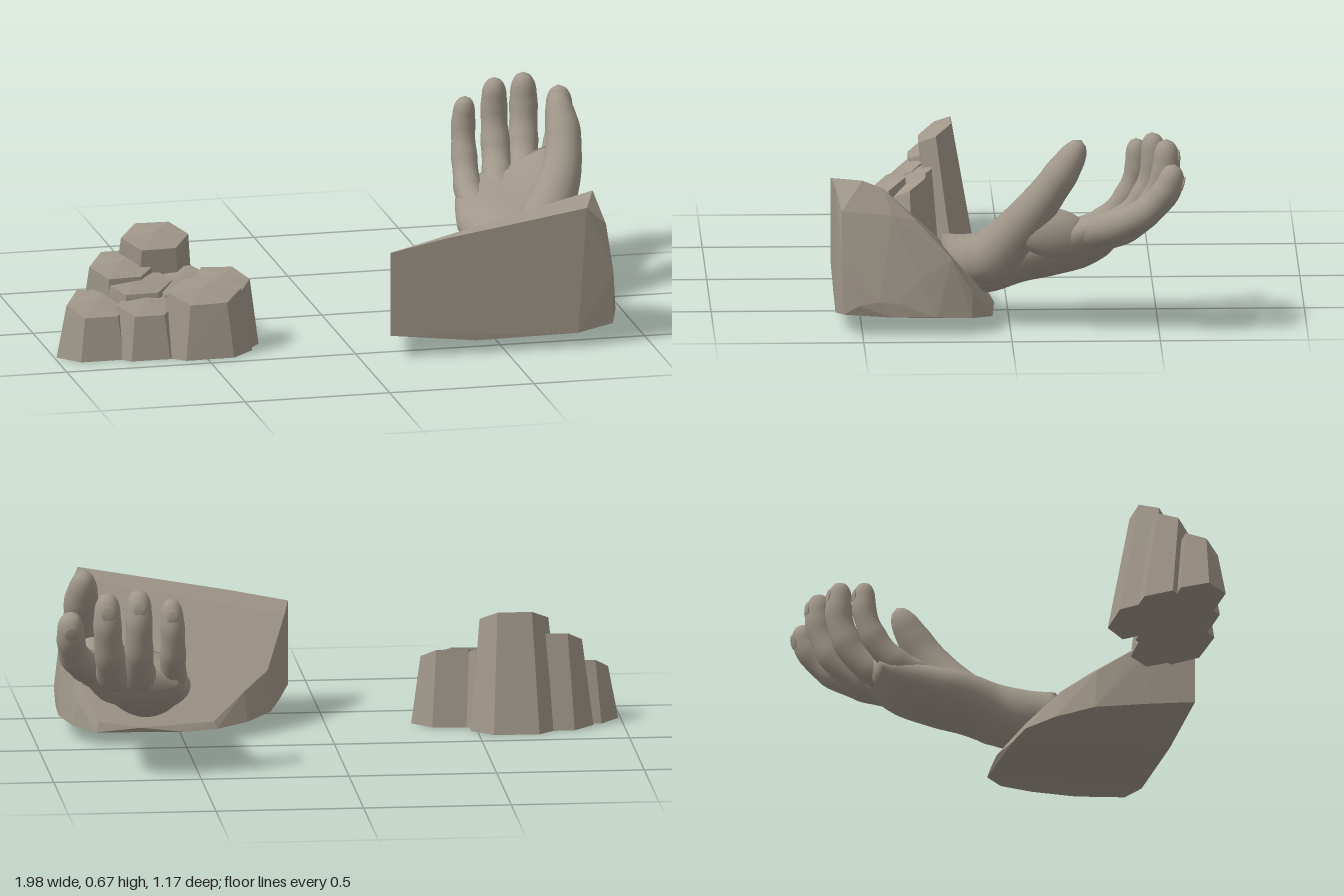
import * as THREE from 'three';
import { mergeVertices } from 'three/addons/utils/BufferGeometryUtils.js';
import { ConvexGeometry } from 'three/addons/geometries/ConvexGeometry.js';

const V = (x, y, z) => new THREE.Vector3(x, y, z);

// weld seams so the shape shades smoothly
function smooth(geo) {
  geo.deleteAttribute('uv');
  geo.deleteAttribute('normal');
  const g = mergeVertices(geo, 1e-4);
  g.computeVertexNormals();
  return g;
}

// tapered finger with swollen joints, rounded at root and tip
function fingerGeometry(points, r0, r1, joints) {
  const curve = new THREE.CatmullRomCurve3(points.map(p => V(...p)));
  const rows = 48, sides = 20, root = 0.2, tip = 0.12;
  const geo = new THREE.TubeGeometry(curve, rows, 1, sides);
  const pos = geo.attributes.position, v = V();
  for (let i = 0; i < pos.count; i++) {
    const t = Math.floor(i / (sides + 1)) / rows;
    const c = curve.getPointAt(t);
    let r = r0 + (r1 - r0) * t;
    for (const j of joints) r *= 1 + 0.07 * Math.exp(-(((t - j) / 0.06) ** 2));
    const end = Math.max((root - t) / root, (t - 1 + tip) / tip, 0);
    r *= Math.sqrt(Math.max(0, 1 - end * end));
    v.fromBufferAttribute(pos, i).sub(c).multiplyScalar(r).add(c);
    pos.setXYZ(i, v.x, v.y, v.z);
  }
  return { geo: smooth(geo), curve };
}

// wrist and palm: a cylinder pulled through cross-sections [x, y, z, half width, half height, cup]
function palmGeometry() {
  const sections = [
    [0.63, 0.175, 0.225, 0.14, 0.115, 0], [0.63, 0.185, 0.13, 0.127, 0.105, 0],
    [0.65, 0.205, 0.04, 0.132, 0.105, 0], [0.67, 0.24, -0.05, 0.16, 0.105, 0.01],
    [0.69, 0.265, -0.15, 0.188, 0.105, 0.03], [0.712, 0.29, -0.25, 0.192, 0.1, 0.035],
    [0.725, 0.315, -0.33, 0.185, 0.078, 0.02], [0.735, 0.34, -0.385, 0.165, 0.035, 0],
  ];
  const centre = new THREE.CatmullRomCurve3(sections.map(s => V(s[0], s[1], s[2])));
  const size = new THREE.CatmullRomCurve3(sections.map(s => V(s[3], s[4], s[5])));
  const geo = new THREE.CylinderGeometry(1, 1, 1, 36, 28);
  const pos = geo.attributes.position;
  for (let i = 0; i < pos.count; i++) {
    const a = pos.getX(i), b = pos.getZ(i), t = pos.getY(i) + 0.5;
    const c = centre.getPoint(t), s = size.getPoint(t);
    const cup = b > 0 ? s.z * b * b : 0;
    const lift = a > 0 ? 0.09 * t * a : 0.03 * t * a; // thumb side sits higher
    pos.setXYZ(i, c.x + a * s.x, c.y + b * s.y - cup + lift, c.z);
  }
  return smooth(geo);
}

export function createModel() {
  const model = new THREE.Group();
  model.name = 'stoneHandAndRocks';
  const stone = new THREE.MeshStandardMaterial({ color: 0xa0978a });
  stone.name = 'stone';
  const add = (parent, geo, name) => {
    const mesh = new THREE.Mesh(geo, stone);
    mesh.name = name;
    parent.add(mesh);
    return mesh;
  };
  let seed = 7;
  const rand = () => (seed = (seed * 16807) % 2147483647) / 2147483647 - 0.5;

  // wedge-shaped boulder: broad front, long back slope, broken side
  const boulder = [
    [0.1, 0.08, 0.585], [0.1, 0.37, 0.585], [0.4, 0.045, 0.585], [0.75, 0.05, 0.588], [0.875, 0.07, 0.565],
    [0.3, 0.41, 0.587], [0.55, 0.448, 0.588], [0.78, 0.485, 0.588], [0.85, 0.42, 0.57], [0.876, 0.25, 0.57],
    [0.82, 0.52, 0.5], [0.78, 0.51, 0.5], [0.835, 0.495, 0.43], [0.87, 0.41, 0.4], [0.86, 0.39, 0.32],
    [0.8, 0.365, 0.3], [0.875, 0.26, 0.2], [0.905, 0.065, 0.4], [0.91, 0.065, 0.25], [0.875, 0.055, 0.13],
    [0.86, 0.14, 0.13], [0.8, 0.045, 0.06], [0.79, 0.08, 0.07], [0.65, 0.06, 0.05], [0.5, 0.04, 0.06],
    [0.39, 0.045, 0.075], [0.4, 0.07, 0.08], [0.28, 0.05, 0.15], [0.29, 0.15, 0.17], [0.19, 0.06, 0.26],
    [0.2, 0.2, 0.27], [0.145, 0.07, 0.41], [0.15, 0.29, 0.41], [0.12, 0.34, 0.5], [0.4, 0.035, 0.3], [0.7, 0.045, 0.3],
  ].map(p => V(...p));
  // uneven facets across the broken side
  for (let z = 0.22; z < 0.54; z += 0.075) {
    for (let y = 0.11; y < z - 0.06; y += 0.09) {
      const py = y + rand() * 0.05, pz = z + rand() * 0.05;
      boulder.push(V(0.912 - 0.35 * py * py - 0.6 * (pz - 0.35) ** 2 + rand() * 0.012, py, pz));
    }
  }
  add(model, new ConvexGeometry(boulder), 'boulder');

  // open left hand, palm up
  const hand = new THREE.Group();
  hand.name = 'hand';
  model.add(hand);
  add(hand, palmGeometry(), 'wristAndPalm');

  // fleshy web between thumb and index finger
  const web = add(hand, new THREE.SphereGeometry(1, 28, 20), 'thumbWeb');
  web.scale.set(0.06, 0.085, 0.125);
  web.rotation.x = -0.15;
  web.position.set(0.84, 0.34, -0.14);

  const digits = [
    ['indexFinger', 0.06, 0.042, [[0.83, 0.33, -0.2], [0.88, 0.37, -0.35], [0.925, 0.425, -0.45], [0.945, 0.51, -0.525], [0.948, 0.597, -0.55]]],
    ['middleFinger', 0.058, 0.042, [[0.755, 0.305, -0.22], [0.785, 0.335, -0.36], [0.805, 0.41, -0.465], [0.82, 0.53, -0.52], [0.82, 0.657, -0.525]]],
    ['ringFinger', 0.056, 0.04, [[0.67, 0.295, -0.22], [0.69, 0.325, -0.345], [0.705, 0.4, -0.435], [0.71, 0.52, -0.485], [0.71, 0.657, -0.48]]],
    ['littleFinger', 0.05, 0.036, [[0.59, 0.28, -0.18], [0.58, 0.31, -0.3], [0.585, 0.38, -0.38], [0.59, 0.49, -0.43], [0.597, 0.612, -0.43]]],
    ['thumb', 0.105, 0.042, [[0.67, 0.19, 0.13], [0.735, 0.24, 0.055], [0.79, 0.32, -0.01], [0.845, 0.42, -0.08], [0.873, 0.53, -0.155], [0.872, 0.61, -0.207], [0.872, 0.667, -0.237]]],
  ];
  for (const [name, r0, r1, points] of digits) {
    const isThumb = name === 'thumb';
    const { geo, curve } = fingerGeometry(points, r0, r1, isThumb ? [0.8] : [0.32, 0.57, 0.79]);
    add(hand, geo, name);
    // nail laid on the outer side of the tip
    const along = curve.getTangentAt(0.88);
    const out = isThumb ? V(1, 0, 0) : V(0, 0, -1);
    out.addScaledVector(along, -out.dot(along)).normalize();
    const nail = add(hand, new THREE.SphereGeometry(1, 14, 10), name + 'Nail');
    nail.scale.set(r1 * 0.6, r1 * 0.65, 0.005);
    nail.quaternion.setFromRotationMatrix(new THREE.Matrix4().makeBasis(along.clone().cross(out), along, out));
    nail.position.copy(curve.getPointAt(0.88)).addScaledVector(out, r1);
  }

  // cluster of flared stone columns: [x, z, half width, half depth, height, backward flare of the foot]
  const cluster = new THREE.Group();
  cluster.name = 'columnCluster';
  model.add(cluster);
  const columns = [
    [-0.625, 0.212, 0.12, 0.055, 0.375, 0.05], [-0.75, 0.245, 0.115, 0.055, 0.29, 0.03],
    [-0.7, 0.29, 0.115, 0.05, 0.24, 0], [-0.85, 0.315, 0.112, 0.055, 0.18, 0],
    [-0.69, 0.35, 0.1, 0.05, 0.18, 0], [-0.56, 0.28, 0.115, 0.055, 0.235, 0],
    [-0.49, 0.375, 0.125, 0.055, 0.22, 0], [-0.42, 0.305, 0.105, 0.055, 0.23, 0.005],
  ];
  columns.forEach(([x, z, w, d, h, back], n) => {
    const points = [V(x, h + 0.015, z - d * 0.1)];
    for (let k = 0; k < 6; k++) {
      const a = (k / 6) * Math.PI * 2, j = 1 + rand() * 0.14;
      const px = Math.cos(a) * w * j, pz = Math.sin(a) * d * 1.15 * j;
      // back edge of the cap stands higher than the front
      points.push(V(x + px, h - pz * 0.6, z + pz));
      points.push(V(x + px * 1.32, 0, z - back + pz * 1.4));
    }
    add(cluster, new ConvexGeometry(points), 'column' + (n + 1));
  });

  return model;
}
